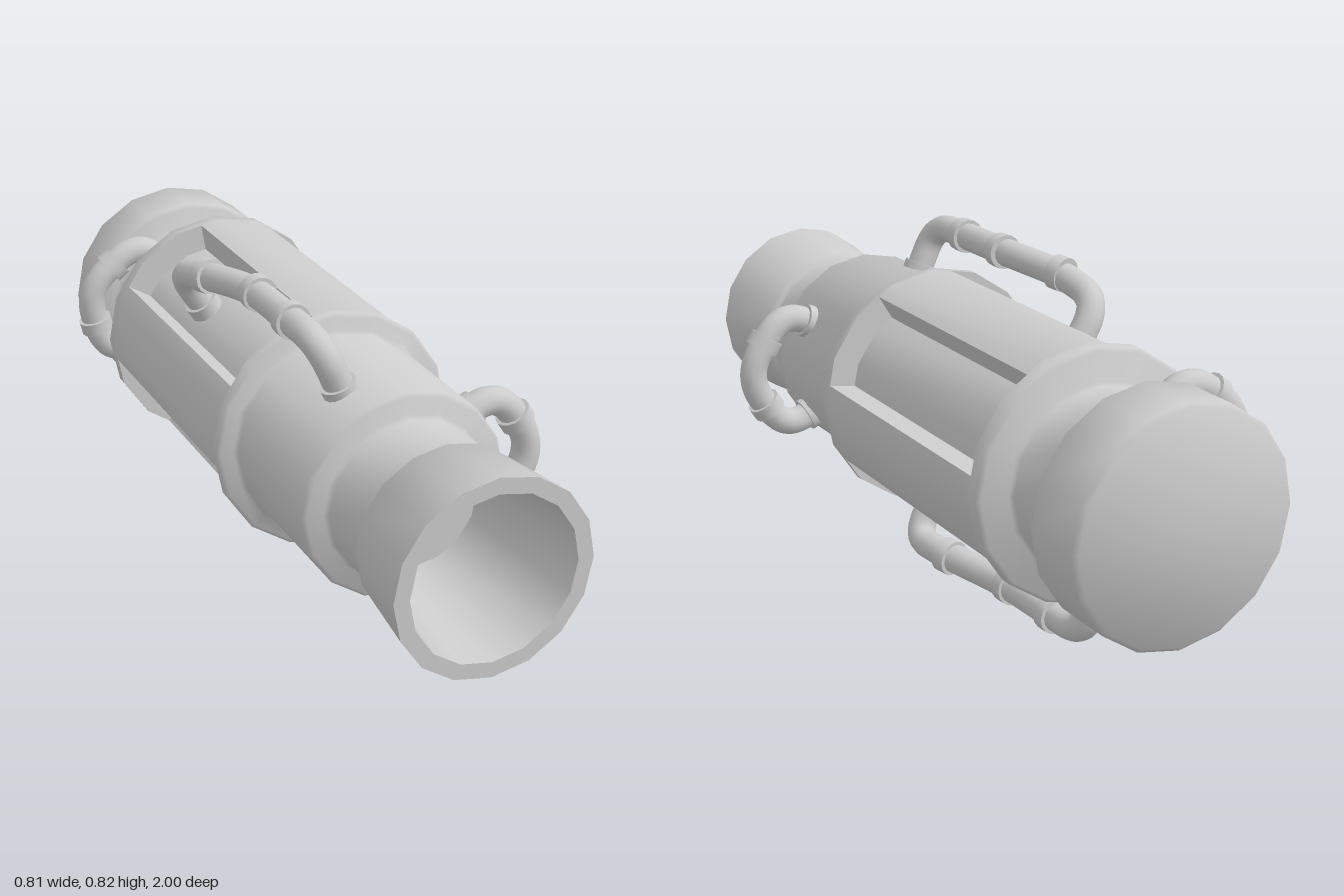
import * as THREE from 'three';
import { toCreasedNormals } from 'three/addons/utils/BufferGeometryUtils.js';

const CX = -0.03, CY = 0.405, SIDES = 16, R = 0.323;
const mat = new THREE.MeshStandardMaterial({ color: 0xcccccc });

function addMesh(parent, name, geometry) {
  const mesh = new THREE.Mesh(geometry, mat);
  mesh.name = name;
  parent.add(mesh);
  return mesh;
}

// Faceted turned part along z; profile is [radius, z] from back to front
function turned(profile) {
  const g = new THREE.LatheGeometry(profile.map(p => new THREE.Vector2(...p)), SIDES);
  g.rotateX(Math.PI / 2);
  return toCreasedNormals(g, 0.9);
}

// Sixteen-sided cross-section with four sunken panels whose floors follow the barrel
function slottedSection() {
  const points = [];
  const edge = 24.8, rim = 0.317, sink = 0.77;
  const section = [
    [-edge, rim], [-edge, rim * sink], [-11.25, R * sink], [11.25, R * sink],
    [edge, rim * sink], [edge, rim], [33.75, R], [56.25, R]
  ];
  for (let i = 0; i < 4; i++) {
    for (const [degrees, r] of section) {
      const a = THREE.MathUtils.degToRad(33.75 + i * 90 + degrees);
      points.push(new THREE.Vector2(r * Math.cos(a), r * Math.sin(a)));
    }
  }
  return new THREE.Shape(points);
}

// Polyline path with its corners rounded
function roundedPath(pts, bend) {
  const path = new THREE.CurvePath();
  let from = pts[0];
  for (let i = 1; i < pts.length - 1; i++) {
    const p = pts[i];
    const cut = q => {
      const d = q.clone().sub(p);
      return p.clone().addScaledVector(d, Math.min(bend, d.length() * 0.45) / d.length());
    };
    const a = cut(pts[i - 1]), b = cut(pts[i + 1]);
    path.add(new THREE.LineCurve3(from, a));
    path.add(new THREE.QuadraticBezierCurve3(a, p, b));
    from = b;
  }
  path.add(new THREE.LineCurve3(from, pts[pts.length - 1]));
  return path;
}

// Pipe with clamps; each clamp is [segment index, fraction along the segment]
function pipe(parent, name, coords, clamps) {
  const group = new THREE.Group();
  group.name = name;
  const pts = coords.map(c => new THREE.Vector3(...c));
  addMesh(group, 'tube', new THREE.TubeGeometry(roundedPath(pts, 0.085), 72, 0.037, 14));
  for (const [i, t] of clamps) {
    const clamp = addMesh(group, 'clamp',
      toCreasedNormals(new THREE.CylinderGeometry(0.046, 0.046, 0.036, 16), 0.5));
    clamp.position.lerpVectors(pts[i], pts[i + 1], t);
    clamp.quaternion.setFromUnitVectors(new THREE.Vector3(0, 1, 0),
      pts[i + 1].clone().sub(pts[i]).normalize());
  }
  parent.add(group);
}

// Side loop bowing away from the barrel, around its axis at the given angle
function loopPipe(parent, name, angle, z, inset) {
  const outline = [[0.17, -0.105], [0.31, -0.17], [0.42, 0], [0.31, 0.17], [0.17, 0.105]];
  const c = Math.cos(angle), s = Math.sin(angle);
  const coords = outline.map(([u, v]) => {
    const r = u - inset;
    return [CX + r * c - v * s, CY + r * s + v * c, z];
  });
  pipe(parent, name, coords, [[0, 0.42], [1, 0.47], [2, 0.53], [3, 0.58]]);
}

export function createModel() {
  const model = new THREE.Group();
  model.name = 'pipedBarrel';

  const barrel = new THREE.Group();
  barrel.name = 'barrel';
  barrel.position.set(CX, CY, 0);
  model.add(barrel);

  // Rear cap, rear neck and back collar of the housing
  addMesh(barrel, 'rearSection', turned([
    [0, -1], [0.285, -1], [0.297, -0.988], [0.297, -0.825], [0.287, -0.815],
    [0.24, -0.815], [0.23, -0.805], [0.23, -0.645], [0.24, -0.635],
    [0.313, -0.635], [R, -0.625], [R, -0.59], [0, -0.59]
  ]));

  // Housing with sunken panels
  const housing = new THREE.ExtrudeGeometry(slottedSection(), { depth: 0.74, bevelEnabled: false });
  housing.translate(0, 0, -0.59);
  addMesh(barrel, 'slottedHousing', toCreasedNormals(housing, 0.5));

  // Front collar, front sleeve, neck and flared muzzle with tapered bore
  addMesh(barrel, 'frontSection', turned([
    [0, 0.15], [R, 0.15], [R, 0.17], [0.313, 0.18], [0.28, 0.18], [0.27, 0.19],
    [0.27, 0.565], [0.26, 0.575], [0.217, 0.575], [0.207, 0.585], [0.207, 0.75],
    [0.217, 0.757], [0.227, 0.765], [0.252, 1], [0.212, 1], [0.167, 0.62], [0, 0.62]
  ]));

  // Loops on the left of the sleeve and the right of the rear neck
  loopPipe(model, 'leftLoopPipe', 0, 0.46, 0);
  loopPipe(model, 'rightLoopPipe', THREE.MathUtils.degToRad(161), -0.715, 0.042);

  // Long pipe over the top, from the sleeve into a sunken panel
  pipe(model, 'topPipe', [
    [-0.11, 0.59, 0.43], [-0.19, 0.775, 0.43], [-0.195, 0.775, 0.05],
    [-0.248, 0.755, -0.14], [-0.265, 0.715, -0.28], [-0.17, 0.57, -0.29]
  ], [[0, 0.32], [1, 0.42], [1, 0.93], [2, 0.96], [4, 0.72]]);

  // Long pipe underneath, from the rear neck into a sunken panel
  pipe(model, 'bottomPipe', [
    [0, 0.23, -0.73], [0.048, 0.052, -0.73], [0.054, 0.046, -0.37],
    [0.112, 0.058, -0.17], [0.128, 0.06, -0.025], [0.04, 0.21, -0.025]
  ], [[0, 0.28], [1, 0.4], [1, 0.94], [2, 0.96], [4, 0.8]]);

  return model;
}
